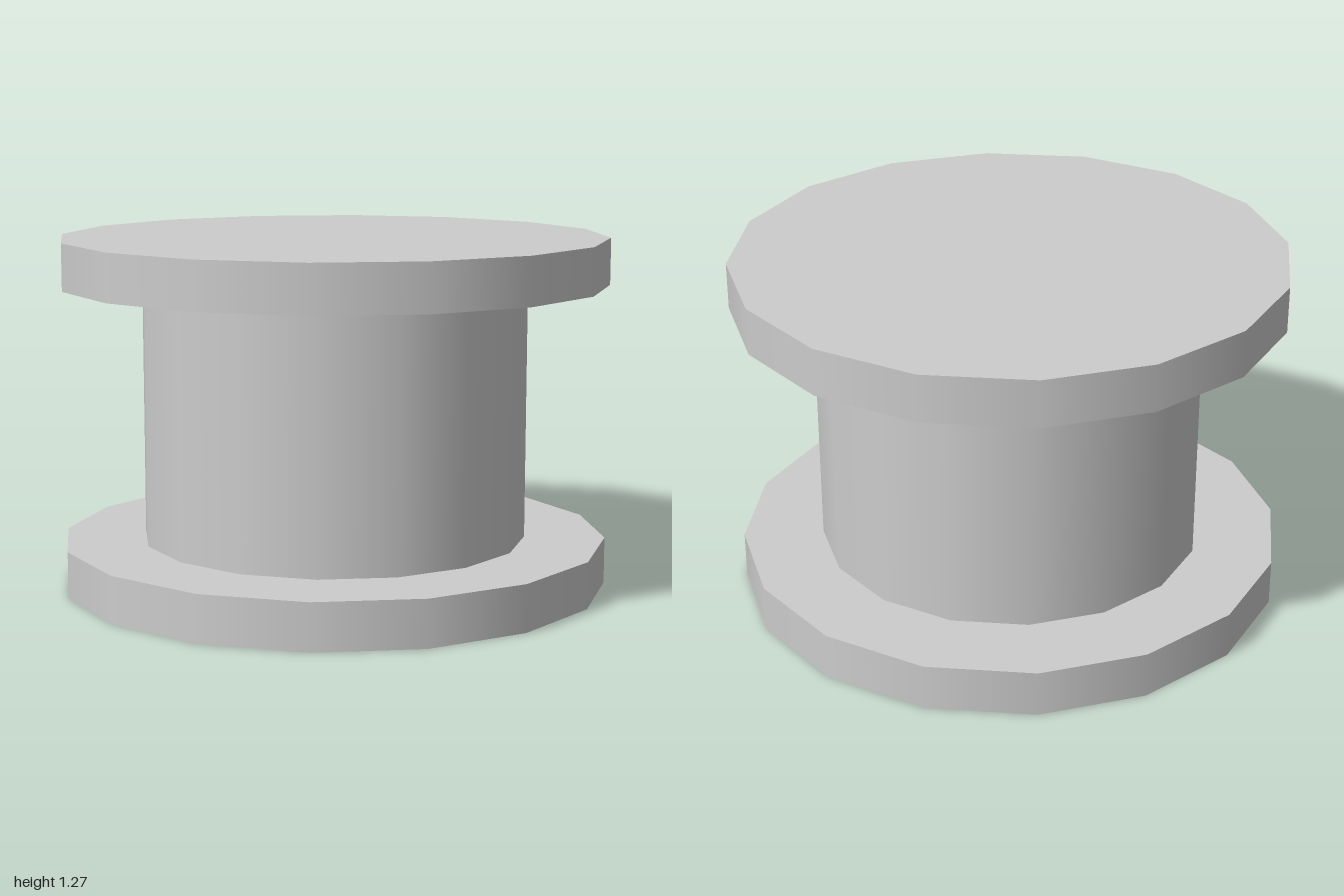
import * as THREE from 'three';

export function createModel() {
  const model = new THREE.Group();
  model.name = 'spool';
  const grey = new THREE.MeshStandardMaterial({ color: 0xcccccc });
  grey.name = 'light grey';

  // Sixteen-sided disc or drum between two heights
  const addDrum = (name, radius, bottom, top) => {
    const geometry = new THREE.CylinderGeometry(radius, radius, top - bottom, 16);
    const mesh = new THREE.Mesh(geometry, grey);
    mesh.name = name;
    mesh.position.y = (bottom + top) / 2;
    model.add(mesh);
  };

  addDrum('bottomFlange', 1, 0, 0.17);
  addDrum('core', 0.705, 0.17, 1.105);
  addDrum('topFlange', 1, 1.105, 1.275);

  return model;
}
